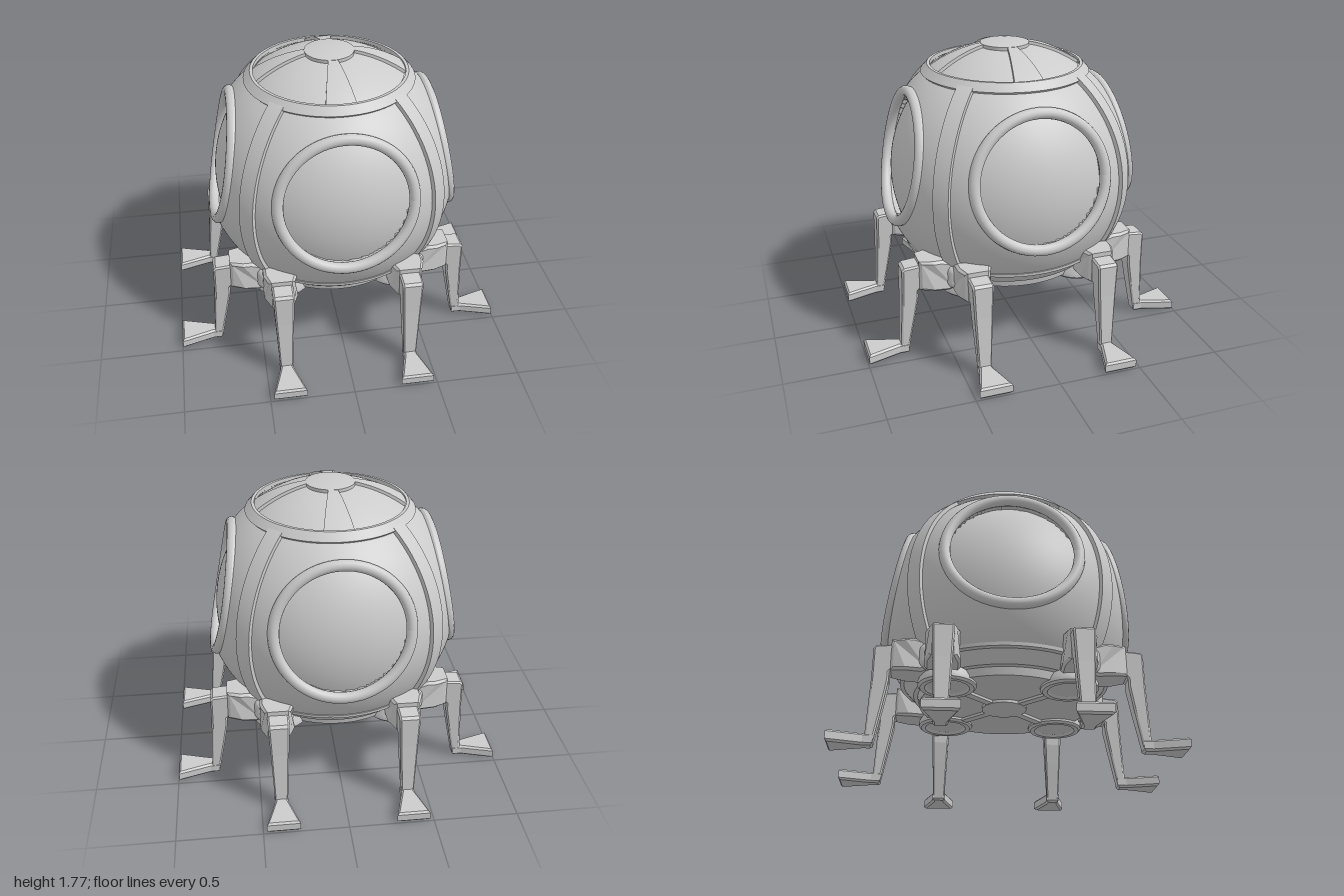
import * as THREE from 'three';
import { toCreasedNormals } from 'three/addons/utils/BufferGeometryUtils.js';

const material = new THREE.MeshStandardMaterial({ color: 0xcccccc, side: THREE.DoubleSide });
const CENTER = 0.98, RADIUS = 0.773;          // hull sphere
const TILT = 0.191, RING_DEPTH = 0.668;       // window axes lean upward
const QUARTER = Math.PI / 2;

function add(parent, name, geometry, x = 0, y = 0, z = 0) {
  const mesh = new THREE.Mesh(geometry, material);
  mesh.name = name;
  mesh.position.set(x, y, z);
  parent.add(mesh);
  return mesh;
}

function reshape(geometry, rule) {
  const p = geometry.attributes.position, v = new THREE.Vector3();
  for (let i = 0; i < p.count; i++) {
    rule(v.fromBufferAttribute(p, i));
    p.setXYZ(i, v.x, v.y, v.z);
  }
  geometry.computeVertexNormals();
  return geometry;
}

const points = (list) => list.map(([x, y]) => new THREE.Vector2(x, y));
const lathe = (list, segments = 64) =>
  toCreasedNormals(new THREE.LatheGeometry(points(list), segments), 0.5);

// points along a circle in the radius/height plane, by angle from the top
function arc(r, from, to, steps) {
  return Array.from({ length: steps + 1 }, (_, i) => {
    const t = from + (to - from) * i / steps;
    return [r * Math.sin(t), r * Math.cos(t)];
  });
}

// centred, bevelled slab from an outline
function slab(outline, depth, bevel = 0.01) {
  const g = new THREE.ExtrudeGeometry(new THREE.Shape(points(outline)), {
    depth: depth - 2 * bevel, bevelThickness: bevel, bevelSize: bevel,
    bevelOffset: -bevel, bevelSegments: 1,
  });
  return g.translate(0, 0, bevel - depth / 2);
}

// raised band along a meridian; a sector band narrows towards the pole
function meridianBand(width, from, to, inner, outer, sector = false) {
  const g = new THREE.BoxGeometry(width, outer - inner, to - from, 4, 1, 32);
  reshape(g, (v) => {
    const t = v.z + (from + to) / 2, r = v.y + (inner + outer) / 2;
    const x = sector ? v.x * Math.sin(t) : v.x;
    const d = Math.sqrt(r * r - x * x);
    v.set(x, d * Math.cos(t), d * Math.sin(t));
  });
  return toCreasedNormals(g, 0.6);
}

function buildHull(root) {
  const normals = [0, 1, 2, 3].map((k) => new THREE.Vector3(0, Math.sin(TILT), Math.cos(TILT))
    .applyAxisAngle(new THREE.Vector3(0, 1, 0), k * QUARTER));

  // sphere with a well sunk behind each window
  const shell = new THREE.LatheGeometry(
    points(arc(RADIUS, 2.2, 0.6, 96)), 192, Math.PI / 4);
  reshape(shell, (v) => {
    for (const n of normals) if (v.dot(n) > 0.677) v.addScaledVector(n, -0.15);
  });
  add(root, 'hull', shell, 0, CENTER);

  for (let k = 0; k < 4; k++) {
    const turn = new THREE.Group();
    turn.name = 'window';
    turn.rotation.y = k * QUARTER;
    turn.position.y = CENTER;
    const axis = new THREE.Group();
    axis.name = 'windowMount';
    axis.rotation.x = -TILT;
    turn.add(axis);
    root.add(turn);

    // ring hugs the hull at its sides
    const ring = reshape(new THREE.TorusGeometry(0.389, 0.033, 14, 72),
      (v) => { v.z -= 0.08 * v.x * v.x; });
    add(axis, 'windowRing', ring, 0, 0, RING_DEPTH);
    // domed pane, set back from the hull surface
    const pane = new THREE.LatheGeometry(points(arc(RADIUS, 0.52, 0, 16)), 64);
    add(axis, 'windowPane', pane.rotateX(QUARTER), 0, 0, -0.068);

    // seam between neighbouring windows
    const band = add(root, 'hullBand', meridianBand(0.1, 0.62, 2.2, 0.75, 0.796), 0, CENTER);
    band.rotation.y = Math.PI / 4 + k * QUARTER;
  }
}

function buildTop(root) {
  add(root, 'collar', lathe([[0.445, 1.59], [0.46, 1.572], [0.487, 1.572], [0.505, 1.59],
    [0.465, 1.635], [0.447, 1.635], [0.445, 1.59]], 72));
  add(root, 'topDome', lathe(arc(0.766, 0.63, 0, 16), 72), 0, CENTER);
  add(root, 'topCap', lathe([[0.145, 0.75], ...arc(0.786, 0.187, 0, 6)], 48), 0, CENTER);
  for (let k = 0; k < 4; k++) {
    const strap = add(root, 'topStrap', meridianBand(0.31, 0.17, 0.605, 0.75, 0.784, true), 0, CENTER);
    strap.rotation.y = k * QUARTER;
  }
}

function buildUnderside(root) {
  add(root, 'underside', lathe([[0, 0.388], [0.515, 0.388], [0.525, 0.435], [0.55, 0.44],
    [0.61, 0.51], [0.635, 0.515], [0.638, 0.535], [0.62, 0.54]], 72));
  add(root, 'bottomCap', new THREE.CylinderGeometry(0.135, 0.135, 0.03, 40), 0, 0.385);
  for (let k = 0; k < 4; k++) {
    const arm = new THREE.Group();
    arm.name = 'thrusterArm';
    arm.rotation.y = Math.PI / 4 + k * QUARTER;
    root.add(arm);
    add(arm, 'bottomStrap', new THREE.BoxGeometry(0.24, 0.03, 0.05), 0.22, 0.387);
    // short nozzle with a shallow bowl
    add(arm, 'thruster', lathe([[0, 0.386], [0.08, 0.384], [0.115, 0.376], [0.128, 0.362],
      [0.155, 0.362], [0.168, 0.375], [0.168, 0.4], [0.14, 0.46]], 40), 0.495);
    // rounded end of the hull band between two hips
    add(arm, 'bandEnd', new THREE.CapsuleGeometry(0.05, 0.06, 6, 20), 0.655, 0.505);
  }
}

// leg reaching out along +x
function buildLeg() {
  const leg = new THREE.Group();
  leg.name = 'leg';
  // hip narrows towards the knee
  const hip = slab([[0.46, 0.43], [0.5, 0.415], [0.59, 0.422], [0.67, 0.43], [0.67, 0.615],
    [0.59, 0.615], [0.54, 0.615], [0.46, 0.59]], 0.2, 0.015);
  reshape(hip, (v) => { if (v.x > 0.59) v.z *= 1 - (v.x - 0.59) * 3.6; });
  add(leg, 'hip', hip);
  const shank = slab([[0.64, 0.46], [0.677, 0.42], [0.677, 0.375], [0.7, 0.245], [0.745, 0.015],
    [0.8, 0.015], [0.79, 0.07], [0.774, 0.375], [0.77, 0.565], [0.755, 0.58], [0.64, 0.59]], 0.12);
  reshape(shank, (v) => { v.z *= THREE.MathUtils.mapLinear(v.y, 0, 0.58, 0.6, 1.05); });
  add(leg, 'shank', shank);
  // wedge foot widening outwards
  const foot = slab([[0.745, -0.04], [0.8, -0.04], [0.995, -0.098],
    [0.995, 0.098], [0.8, 0.04], [0.745, 0.04]], 0.066, 0.012);
  foot.rotateX(-QUARTER);
  add(leg, 'foot', foot, 0, 0.033);
  return leg;
}

export function createModel() {
  const root = new THREE.Group();
  root.name = 'landingPod';
  buildHull(root);
  buildTop(root);
  buildUnderside(root);

  // a pair of legs on each of the four sides
  for (let k = 0; k < 4; k++) {
    const pair = new THREE.Group();
    pair.name = 'legPair';
    pair.rotation.y = k * QUARTER;
    for (const side of [-1, 1]) {
      const leg = buildLeg();
      leg.position.z = side * 0.38;
      pair.add(leg);
    }
    root.add(pair);
  }
  return root;
}
